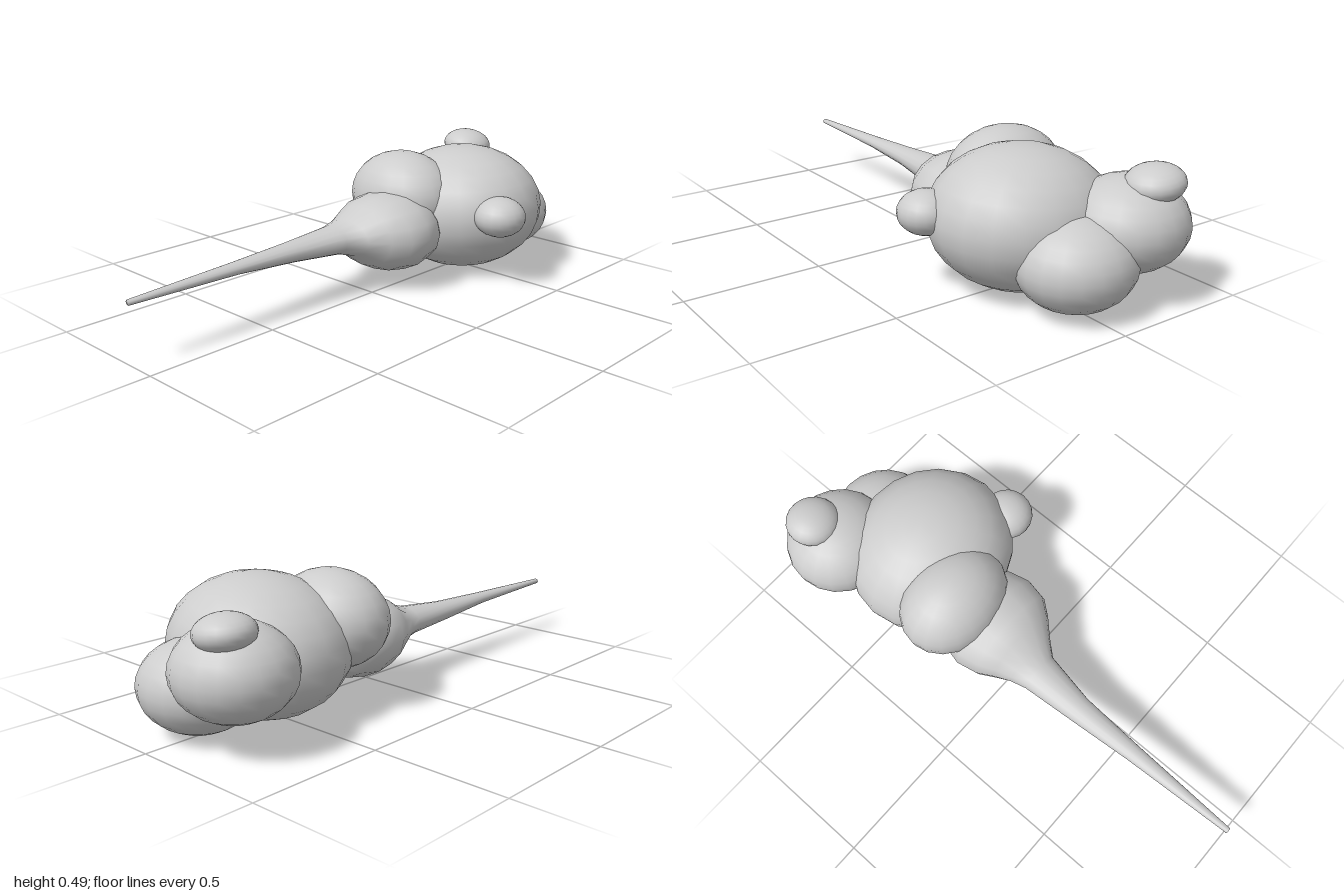
import * as THREE from 'three';

// Closed skin through elliptical rings [x, yCentre, zCentre, yRadius, zRadius]
function loft(rings, sides = 16) {
  const pos = [], index = [];
  for (const [x, y, z, ry, rz] of rings) {
    for (let j = 0; j < sides; j++) {
      const a = (j / sides) * Math.PI * 2;
      pos.push(x, y + Math.cos(a) * ry, z + Math.sin(a) * rz);
    }
  }
  for (let i = 0; i < rings.length - 1; i++) {
    for (let j = 0; j < sides; j++) {
      const k = (j + 1) % sides;
      const a = i * sides + j, b = i * sides + k, c = a + sides, d = b + sides;
      index.push(a, b, c, b, d, c);
    }
  }
  const g = new THREE.BufferGeometry();
  g.setAttribute('position', new THREE.Float32BufferAttribute(pos, 3));
  g.setIndex(index);
  g.computeVertexNormals();
  return g;
}

export function createModel() {
  const model = new THREE.Group();
  const grey = new THREE.MeshStandardMaterial({ color: 0xcccccc });
  grey.name = 'light grey';

  const add = (name, geometry) => {
    const mesh = new THREE.Mesh(geometry, grey);
    mesh.name = name;
    model.add(mesh);
    return mesh;
  };

  // Rounded lobes: name, centre, radii, tilt about x
  const lobes = [
    ['body', [0.515, 0.246, 0.012], [0.305, 0.246, 0.33], -0.08],
    ['upperBackLobe', [0.287, 0.312, -0.102], [0.18, 0.175, 0.225], 0],
    ['upperEndLobe', [0.797, 0.264, -0.194], [0.203, 0.16, 0.207], 0],
    ['lowerEndLobe', [0.78, 0.169, 0.008], [0.197, 0.157, 0.207], 0],
    ['frontKnob', [0.383, 0.28, 0.303], [0.099, 0.076, 0.099], 0],
    ['topKnob', [0.863, 0.407, -0.237], [0.099, 0.062, 0.102], 0.12],
  ];
  for (const [name, centre, radii, tilt] of lobes) {
    const mesh = add(name, new THREE.SphereGeometry(1, 20, 14));
    mesh.position.set(...centre);
    mesh.scale.set(...radii);
    mesh.rotation.x = tilt;
  }

  // Rear lobe drawn out into a long thin tail
  add('tail', loft([
    [-1, 0.22, -0.095, 0, 0],
    [-1, 0.22, -0.095, 0.01, 0.011],
    [-0.57, 0.222, -0.097, 0.022, 0.033],
    [-0.32, 0.218, -0.099, 0.037, 0.051],
    [-0.12, 0.218, -0.088, 0.053, 0.078],
    [-0.06, 0.219, -0.07, 0.068, 0.112],
    [0, 0.215, -0.053, 0.115, 0.155],
    [0.06, 0.211, -0.045, 0.141, 0.195],
    [0.14, 0.21, -0.045, 0.154, 0.211],
    [0.22, 0.21, -0.045, 0.14, 0.192],
    [0.29, 0.21, -0.045, 0.098, 0.135],
    [0.33, 0.21, -0.045, 0, 0],
  ]));

  return model;
}
